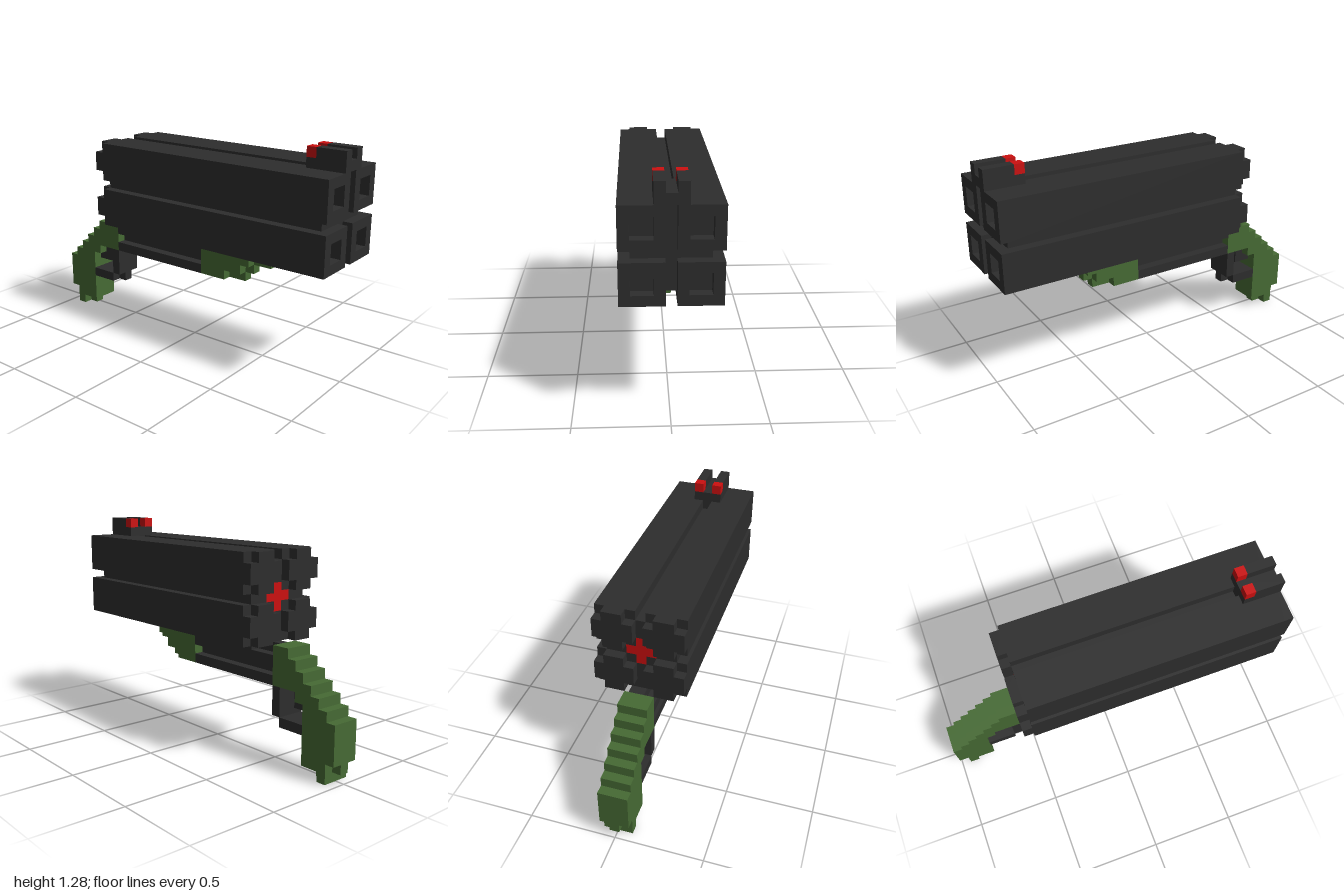
import * as THREE from 'three';

const U = 1 / 18; // one block

export function createModel() {
  const mat = (name, color) => Object.assign(new THREE.MeshStandardMaterial({ color }), { name });
  const gunmetal = mat('gunmetal', 0x2d2d2d);
  const green = mat('grip green', 0x466a34);
  const red = mat('signal red', 0xcc1010);

  const model = new THREE.Group();
  model.name = 'fourBarrelPistol';

  function add(name, geo, material, parent = model) {
    const mesh = new THREE.Mesh(geo, material);
    mesh.name = name;
    parent.add(mesh);
    return mesh;
  }
  // Box between block limits
  function box(name, material, [x0, x1], [y0, y1], [z0, z1], parent) {
    const geo = new THREE.BoxGeometry((x1 - x0) * U, (y1 - y0) * U, (z1 - z0) * U);
    geo.translate((x0 + x1) / 2 * U, (y0 + y1) / 2 * U, (z0 + z1) / 2 * U);
    return add(name, geo, material, parent);
  }
  const outline = (pts) => new THREE.Shape(pts.map(([a, b]) => new THREE.Vector2(a * U, b * U)));
  // Side profile of [z, y] points, one block thick, centred on block column x
  function slab(name, material, x, pts) {
    const geo = new THREE.ExtrudeGeometry(outline(pts), { depth: U, bevelEnabled: false });
    geo.translate(0, 0, -U / 2).rotateY(-Math.PI / 2).translate(x * U, 0, 0);
    return add(name, geo, material);
  }
  const MID = [-0.5, 0.5], WIDE = [-1.5, 1.5];

  // Four barrels: hollow muzzle, long body, corner-notched breech
  const square = (r) => [[-r, -r], [r, -r], [r, r], [-r, r]];
  const muzzleShape = outline(square(2));
  muzzleShape.holes.push(outline(square(1)));
  const muzzleGeo = new THREE.ExtrudeGeometry(muzzleShape, { depth: U, bevelEnabled: false });
  const breechGeo = new THREE.ExtrudeGeometry(outline([
    [-1, -2], [1, -2], [1, -1], [2, -1], [2, 1], [1, 1],
    [1, 2], [-1, 2], [-1, 1], [-2, 1], [-2, -1], [-1, -1],
  ]), { depth: U, bevelEnabled: false });
  for (const x of [-2.5, 2.5]) {
    for (const y of [14, 19]) {
      const barrel = new THREE.Group();
      barrel.name = 'barrel';
      barrel.position.set(x * U, y * U, 0);
      add('muzzle', muzzleGeo, gunmetal, barrel).position.z = 17 * U;
      box('barrelBody', gunmetal, [-2, 2], [-2, 2], [-9, 17], barrel);
      add('breech', breechGeo, gunmetal, barrel).position.z = -10 * U;
      model.add(barrel);
    }
  }

  // Recessed cross between the barrels, with a red marker at the rear
  box('coreUpright', gunmetal, MID, [13, 20], [-8.9, 17]);
  box('coreCrossbar', gunmetal, [-3.5, 3.5], [16, 17], [-8.9, 17]);
  box('coreRearUpper', gunmetal, MID, [18, 20], [-9, -8.9]);
  box('coreRearLower', gunmetal, MID, [13, 15], [-9, -8.9]);
  box('rearMarkerUpright', red, MID, [15, 18], [-9, -8.9]);
  for (const s of [-1, 1]) {
    const span = (a, b) => (s > 0 ? [a, b] : [-b, -a]);
    box('rearMarkerArm', red, span(0.5, 1.5), [16, 17], [-9, -8.9]);
    box('coreRearSide', gunmetal, span(1.5, 3.5), [16, 17], [-9, -8.9]);
    // Sight posts with red tips
    box('sightPost', gunmetal, span(0.5, 1.5), [22, 23], [15, 18]);
    box('sightTip', red, span(0.5, 1.5), [22, 23], [14, 15]);
  }
  box('sightBase', gunmetal, WIDE, [21, 22], [14, 18]);
  box('sightFoot', gunmetal, MID, [20, 21], [14, 17]);

  // Lower frame with side grooves
  box('frameBottom', gunmetal, WIDE, [8, 9], [-10, 2]);
  box('frameGroove', gunmetal, MID, [9, 10], [-10, 2]);
  box('frameMiddle', gunmetal, WIDE, [10, 11], [-10, 2]);
  box('frameTop', gunmetal, WIDE, [11, 12], [-7, -1]);
  box('frameRecess', gunmetal, MID, [11, 12], [-10, -7]);
  box('frameInset', red, WIDE, [11, 12], [-1, 2]);
  box('frameRib', gunmetal, MID, [12, 13], [-9, 2]);

  // Stepped foregrip, rounded toward the sides
  slab('foregripCentre', green, 0,
    [[2, 8], [7, 8], [7, 9], [8, 9], [8, 10], [10, 10], [10, 12], [2, 12]]);
  for (const x of [-1, 1]) {
    slab('foregripSide', green, x,
      [[2, 8], [5, 8], [5, 9], [7, 9], [7, 10], [8, 10], [8, 11], [10, 11], [10, 12], [2, 12]]);
  }

  // Curved rear grip: stepped back shared by centre and sides
  const gripBack = [[-18, 6], [-17, 6], [-17, 7], [-16, 7], [-16, 8], [-15, 8], [-15, 9],
    [-14, 9], [-14, 10], [-13, 10], [-13, 11], [-12, 11], [-12, 12], [-10, 12],
    [-10, 8], [-13, 8], [-13, 7], [-14, 7], [-14, 1]];
  slab('gripCentre', green, 0, [...gripBack, [-15, 1], [-15, 0], [-17, 0], [-17, 1], [-18, 1]]);
  for (const x of [-1, 1]) {
    slab('gripSide', green, x, [...gripBack, [-16, 1], [-16, 0], [-17, 0], [-17, 2], [-18, 2]]);
  }

  // Trigger and guard
  slab('trigger', gunmetal, 0, [[-14, 6], [-12, 6], [-12, 8], [-13, 8], [-13, 7], [-14, 7]]);
  box('guardFront', gunmetal, WIDE, [5, 8], [-11, -10]);
  box('guardCorner', gunmetal, MID, [4, 5], [-11, -10]);
  box('guardBottom', gunmetal, WIDE, [4, 5], [-14, -11]);

  return model;
}
